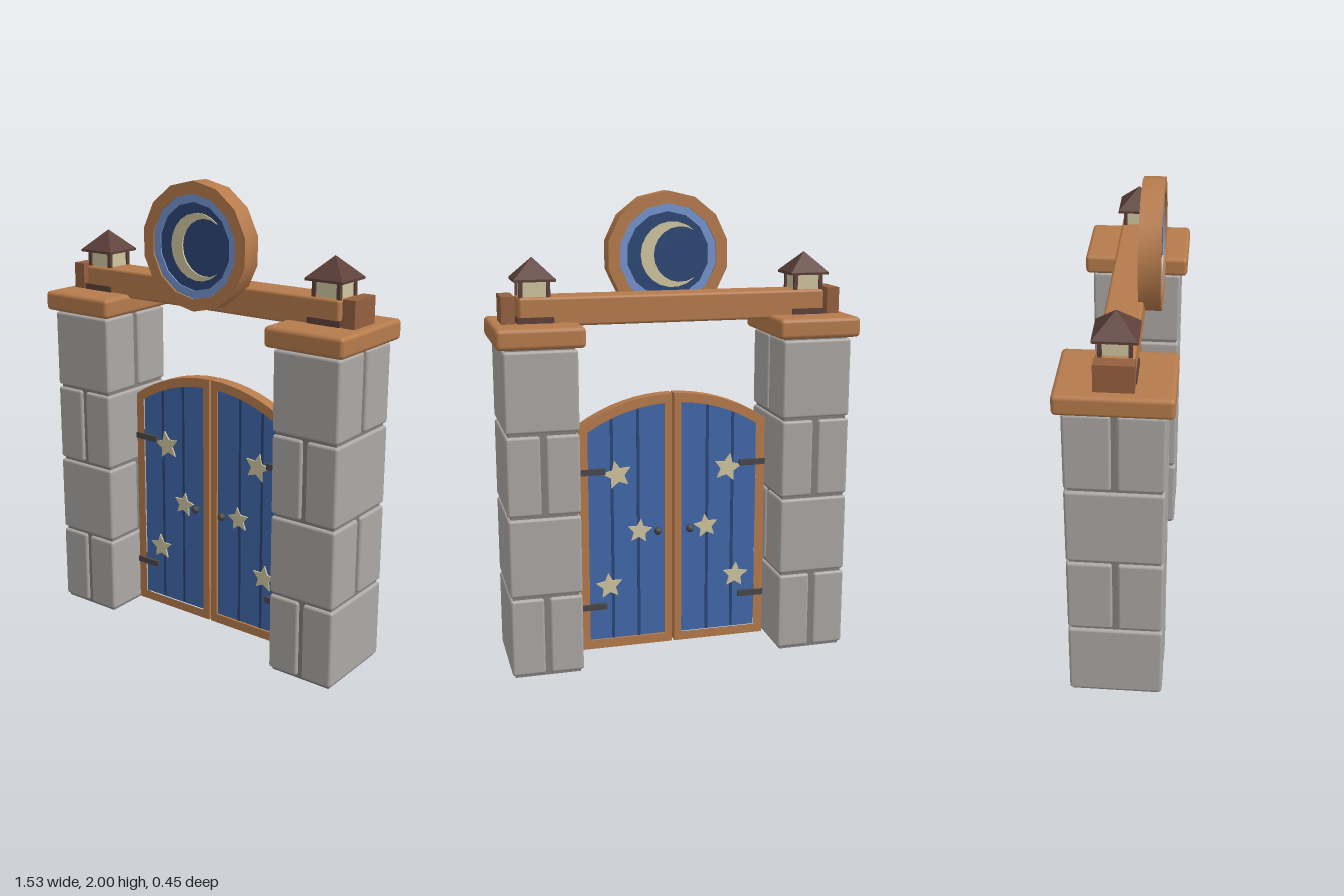
import * as THREE from 'three';
import { toCreasedNormals } from 'three/addons/utils/BufferGeometryUtils.js';
import { RoundedBoxGeometry } from 'three/addons/geometries/RoundedBoxGeometry.js';

const mat = (name, color) => {
  const m = new THREE.MeshStandardMaterial({ color });
  m.name = name;
  return m;
};

export function createModel() {
  const wood = mat('warm wood', 0xb67b4c);
  const darkWood = mat('dark wood', 0x94603f);
  const roofBrown = mat('roof brown', 0x5e4039);
  const iron = mat('iron', 0x4a474c);
  const stone = mat('stone', 0xaba7a4);
  const mortar = mat('mortar', 0x83807e);
  const blue = mat('door blue', 0x4168ab);
  const navy = mat('navy', 0x2b4675);
  const paleBlue = mat('pale blue', 0x7494cf);
  const cream = mat('cream', 0xd0c6a0);

  const gate = new THREE.Group();
  gate.name = 'gate';

  const add = (parent, name, geo, material, x = 0, y = 0, z = 0) => {
    const m = new THREE.Mesh(geo, material);
    m.name = name;
    m.position.set(x, y, z);
    parent.add(m);
    return m;
  };
  const group = (parent, name, x = 0, y = 0, z = 0) => {
    const g = new THREE.Group();
    g.name = name;
    g.position.set(x, y, z);
    parent.add(g);
    return g;
  };
  const box = (w, h, d) => new THREE.BoxGeometry(w, h, d);
  const rounded = (w, h, d, r) => new RoundedBoxGeometry(w, h, d, 2, r);
  // Extrusion centred on z = 0, with smooth curves and sharp edges
  const slab = (pts, depth, hole) => {
    const s = new THREE.Shape(pts);
    if (hole) s.holes.push(new THREE.Path(hole));
    const g = new THREE.ExtrudeGeometry(s, { depth, bevelEnabled: false });
    g.translate(0, 0, -depth / 2);
    return toCreasedNormals(g, 0.6);
  };
  const ringPoints = (n, radius) => Array.from({ length: n }, (_, i) => {
    const a = Math.PI / 2 + (i / n) * Math.PI * 2;
    const r = radius(i);
    return new THREE.Vector2(Math.cos(a) * r, Math.sin(a) * r);
  });

  // Stone pillars: courses split alternately across x and z
  const PX = 0.587, W = 0.304, D = 0.388, GAP = 0.022;
  for (const s of [-1, 1]) {
    const p = group(gate, s > 0 ? 'leftPillar' : 'rightPillar', s * PX);
    add(p, 'mortarCore', box(W - 0.026, 1.395, D - 0.026), mortar, 0, 0.6975);
    for (let c = 0; c < 4; c++) {
      const y = 0.178 + c * 0.347;
      for (const h of [-1, 1]) {
        if (c % 2 === 0) {
          const w = (W - GAP) / 2;
          add(p, 'stoneBlock', rounded(w, 0.335, D, 0.012), stone, h * (w + GAP) / 2, y);
        } else {
          const d = (D - GAP) / 2;
          add(p, 'stoneBlock', rounded(W, 0.335, d, 0.012), stone, 0, y, h * (d + GAP) / 2);
        }
      }
    }
    add(p, 'pillarCap', rounded(0.36, 0.085, 0.45, 0.018), wood, 0, 1.438);
    add(p, 'beamStop', box(0.055, 0.115, 0.152), darkWood, s * 0.111, 1.5345);

    // Lantern straddling the beam end
    const l = group(p, 'lantern', 0, 1.48, 0);
    add(l, 'lanternBase', box(0.15, 0.025, 0.16), roofBrown, 0, 0.0125);
    add(l, 'lanternGlass', box(0.112, 0.15, 0.112), cream, 0, 0.095);
    for (const ax of [-1, 1]) for (const az of [-1, 1]) {
      add(l, 'lanternPost', box(0.016, 0.15, 0.016), roofBrown, ax * 0.056, 0.095, az * 0.056);
    }
    const roof = new THREE.ConeGeometry(0.085 * Math.SQRT2, 0.085, 4, 1).toNonIndexed();
    roof.rotateY(Math.PI / 4);
    roof.computeVertexNormals();
    add(l, 'lanternRoof', roof, roofBrown, 0, 0.22);
    add(l, 'lanternEave', box(0.17, 0.01, 0.17), roofBrown, 0, 0.173);
  }

  // Cross beam
  add(gate, 'crossBeam', rounded(1.31, 0.12, 0.146, 0.012), wood, 0, 1.525);

  // Arched doors
  const R = 0.727, CY = 0.428;
  const arc = (x, inset) => CY + Math.sqrt((R - inset) ** 2 - x * x);
  const doorOutline = (s, inset) => {
    const x0 = 0.005 + inset * 0.8, x1 = 0.415 - inset, y0 = 0.025 + inset;
    const pts = [new THREE.Vector2(s * x0, y0), new THREE.Vector2(s * x1, y0)];
    for (let i = 0; i <= 8; i++) {
      const x = x1 + (x0 - x1) * i / 8;
      pts.push(new THREE.Vector2(s * x, arc(x, inset)));
    }
    return pts;
  };
  const stars = [[0.247, 0.81, 0.065, 0.2], [0.15, 0.55, 0.056, -0.12], [0.287, 0.31, 0.06, 0.08]];
  for (const s of [-1, 1]) {
    const d = group(gate, s > 0 ? 'leftDoor' : 'rightDoor');
    add(d, 'doorFrame', slab(doorOutline(s, 0), 0.056, doorOutline(s, 0.04)), wood);
    add(d, 'doorPanel', slab(doorOutline(s, 0.038), 0.036), blue);
    for (const x of [0.155, 0.27]) {
      const top = arc(x, 0.042);
      add(d, 'plankGroove', box(0.013, top - 0.065, 0.04), navy, s * x, (top + 0.065) / 2);
    }
    for (const [x, y, r, tilt] of stars) {
      const geo = slab(ringPoints(10, i => (i % 2 ? r * 0.48 : r)), 0.05);
      add(d, 'star', geo, cream, s * x, y).rotation.z = -s * tilt;
    }
    for (const y of [0.22, 0.83]) {
      add(d, 'hinge', box(0.115, 0.026, 0.07), iron, s * 0.358, y);
    }
    for (const z of [-1, 1]) {
      add(d, 'doorKnob', new THREE.SphereGeometry(0.018, 8, 6), iron, s * 0.072, 0.55, z * 0.04);
      const stem = new THREE.CylinderGeometry(0.008, 0.008, 0.03, 8);
      stem.rotateX(Math.PI / 2);
      add(d, 'knobStem', stem, iron, s * 0.072, 0.55, z * 0.025);
    }
  }

  // Round moon sign, decorated on both faces
  const sign = group(gate, 'moonSign', 0, 1.735, 0.096);
  const disc = r => ringPoints(14, () => r);
  add(sign, 'signRim', slab(disc(0.265), 0.088, disc(0.214)), wood);
  add(sign, 'signInnerRing', slab(disc(0.216), 0.072, disc(0.18)), paleBlue);
  add(sign, 'signDisc', slab(disc(0.182), 0.06), navy);
  const moon = [];
  const sweep = (cx, cy, r, a0, a1, n, skip) => {
    for (let i = skip; i <= n - skip; i++) {
      const a = a0 + (a1 - a0) * i / n;
      moon.push(new THREE.Vector2(cx + Math.cos(a) * r, cy + Math.sin(a) * r));
    }
  };
  const tip = Math.atan2(0.1, 0.095), inner = Math.atan2(0.1, 0.06);
  sweep(0.02, 0, 0.138, tip, Math.PI * 2 - tip, 16, 0);
  sweep(0.055, 0, 0.117, Math.PI * 2 - inner, inner, 14, 1);
  for (const side of [0, 1]) {
    const face = group(sign, side ? 'backMoon' : 'frontMoon');
    face.rotation.y = side * Math.PI;
    add(face, 'crescent', slab(moon, 0.008), cream, 0, 0, 0.033);
  }

  return gate;
}
